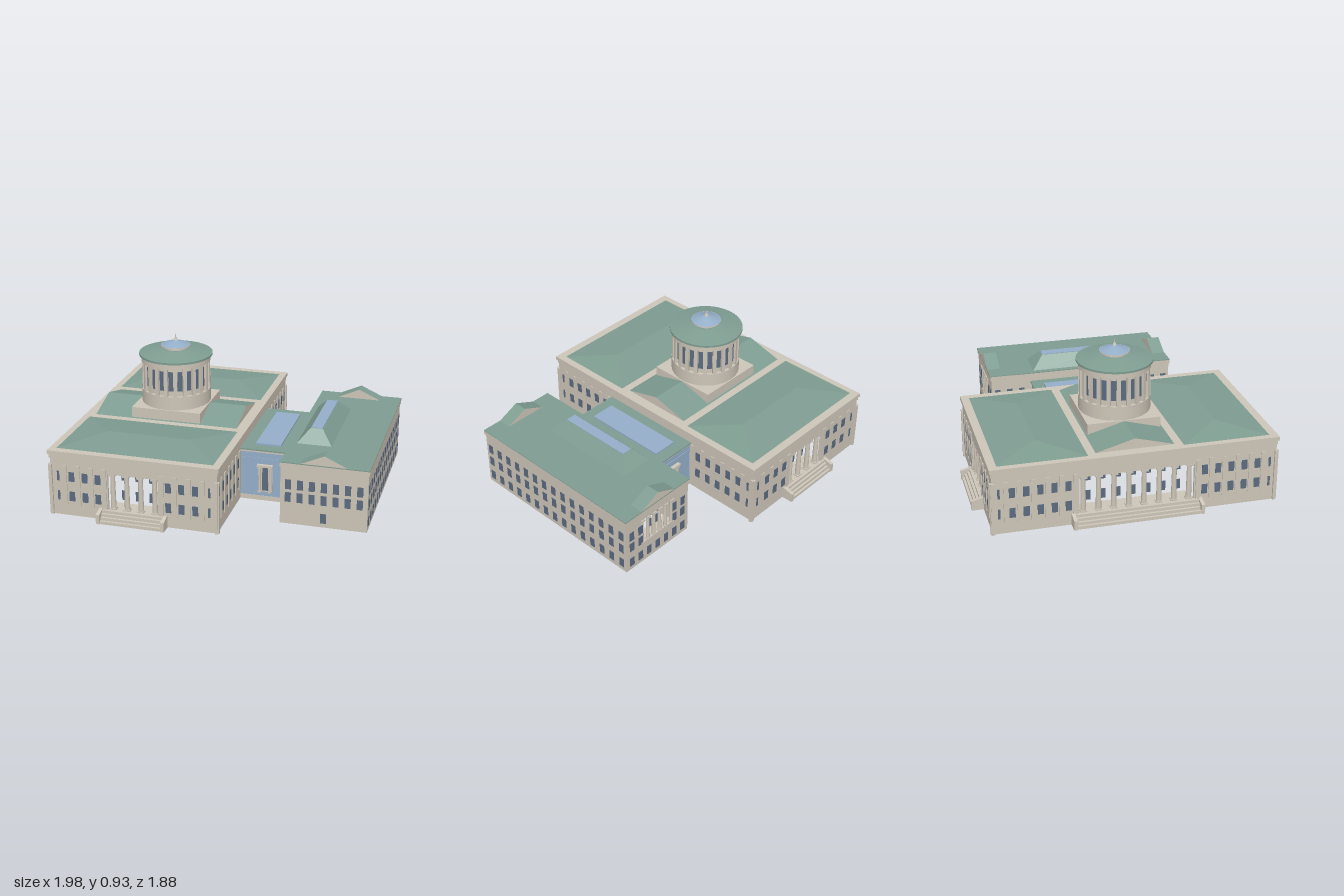
import * as THREE from 'three';

const mat = (name, color, side = THREE.FrontSide) => {
  const m = new THREE.MeshStandardMaterial({ color, side });
  m.name = name;
  return m;
};

export function createModel() {
  const stone = mat('stone', 0xcdc5b8);
  const copper = mat('copper roof', 0x7f9d92);
  const glass = mat('skylight glass', 0x94aec8, THREE.DoubleSide);
  const pane = mat('window pane', 0x5b6b80, THREE.DoubleSide);
  const model = new THREE.Group();
  model.name = 'building';

  const add = (parent, name, geo, material, x = 0, y = 0, z = 0) => {
    const m = new THREE.Mesh(geo, material);
    m.name = name;
    m.position.set(x, y, z);
    parent.add(m);
    return m;
  };
  const group = (name, parent = model) => {
    const g = new THREE.Group();
    g.name = name;
    parent.add(g);
    return g;
  };
  // Box given by its limits
  const block = (parent, name, material, x0, x1, y0, y1, z0, z1) =>
    add(parent, name, new THREE.BoxGeometry(x1 - x0, y1 - y0, z1 - z0), material,
      (x0 + x1) / 2, (y0 + y1) / 2, (z0 + z1) / 2);
  // Box whose top rectangle differs from its base: hips, gables and monitors
  const hip = (parent, name, material, [x0, x1, z0, z1, y0], [a0, a1, b0, b1, y1]) => {
    const geo = new THREE.BoxGeometry(1, 1, 1);
    const p = geo.attributes.position;
    for (let i = 0; i < p.count; i++) {
      const r = p.getX(i) > 0, f = p.getZ(i) > 0;
      if (p.getY(i) > 0) p.setXYZ(i, r ? a1 : a0, y1, f ? b1 : b0);
      else p.setXYZ(i, r ? x1 : x0, y0, f ? z1 : z0);
    }
    geo.computeVertexNormals();
    return add(parent, name, geo, material);
  };
  const column = (parent, x, y0, y1, z, r) => {
    const h = y1 - y0;
    add(parent, 'columnShaft', new THREE.CylinderGeometry(r * 0.82, r, h, 14), stone, x, y0 + h / 2, z);
    block(parent, 'columnBase', stone, x - r * 1.2, x + r * 1.2, y0, y0 + 0.008, z - r * 1.2, z + r * 1.2);
    block(parent, 'columnCapital', stone, x - r * 1.25, x + r * 1.25, y1 - 0.012, y1, z - r * 1.25, z + r * 1.25);
  };
  const windowAt = (parent, x, y, z = 0.001, w = 0.036, h = 0.062) =>
    block(parent, 'window', pane, x - w / 2, x + w / 2, y - h / 2, y + h / 2, z - 0.002, z + 0.002);

  // Wall facing local +z, with an optional opening [half width, bottom, top]
  const wall = (name, x, z, angle, half, top, hole, holeX = 0) => {
    const g = group(name);
    g.position.set(x, 0, z);
    g.rotation.y = angle;
    const s = new THREE.Shape();
    s.moveTo(-half, 0).lineTo(half, 0).lineTo(half, top).lineTo(-half, top).closePath();
    if (hole) {
      const [w, y0, y1] = hole, p = new THREE.Path();
      p.moveTo(holeX - w, y0).lineTo(holeX - w, y1).lineTo(holeX + w, y1).lineTo(holeX + w, y0).closePath();
      s.holes.push(p);
    }
    add(g, 'wall', new THREE.ExtrudeGeometry(s, { depth: 0.015, bevelEnabled: false }), stone, 0, 0, -0.015);
    return g;
  };

  // Main block: four facades with recessed colonnades
  const CX = -0.39, HX = 0.525, HZ = 0.865;
  const facade = (name, x, z, angle, half, open, count, bays, stepHalf) => {
    const g = wall(name, x, z, angle, half, 0.375, [open, 0.07, 0.302]);
    const gap = (2 * open - 0.052) / (count - 1);
    for (let i = 0; i < count; i++) {
      const u = (i - (count - 1) / 2) * gap;
      column(g, u, 0.07, 0.302, -0.02, 0.017);
      if (i < count - 1) for (const y of [0.128, 0.257]) windowAt(g, u + gap / 2, y, -0.1);
    }
    block(g, 'porchFloor', stone, -open, open, 0.06, 0.07, -0.11, 0);
    for (const s of [-1, 1]) {
      bays.forEach((u, i) => {
        const last = i === bays.length - 1;
        for (const y of [0.128, 0.257]) windowAt(g, s * u, y, 0.001, last ? 0.014 : 0.036);
        const c = s * (u - 0.042);
        block(g, 'pilaster', stone, c - 0.014, c + 0.014, 0.07, 0.33, 0, 0.006);
      });
      block(g, 'cornerPier', stone, s * half - 0.012, s * half + 0.012, 0, 0.33, -0.012, 0.006);
    }
    // Entrance steps between cheek walls
    if (stepHalf) {
      for (let i = 0; i < 4; i++)
        block(g, 'step', stone, -stepHalf + 0.02, stepHalf - 0.02, 0, 0.07 - i * 0.017, 0, 0.02 + i * 0.016);
      for (const s of [-1, 1]) {
        const c = s * (stepHalf - 0.011);
        hip(g, 'cheekWall', stone, [c - 0.011, c + 0.011, 0, 0.073, 0], [c - 0.011, c + 0.011, 0, 0.073, 0.06]);
        hip(g, 'cheekCap', stone, [c - 0.011, c + 0.011, 0, 0.073, 0.06], [c - 0.011, c + 0.011, 0, 0.012, 0.076]);
      }
    }
  };
  const shortBays = [0.222, 0.305, 0.39, 0.476];
  const longBays = [0.415, 0.498, 0.581, 0.664, 0.747, 0.825];
  facade('frontFacade', CX, HZ, 0, HX, 0.158, 4, shortBays, 0.215);
  facade('backFacade', CX, -HZ, Math.PI, HX, 0.158, 4, shortBays, 0.215);
  facade('rightFacade', CX - HX, 0, -Math.PI / 2, HZ, 0.35, 8, longBays, 0.4);
  facade('leftFacade', CX + HX, 0, Math.PI / 2, HZ, 0.35, 8, longBays, 0);

  // Main cornice and roofs
  const roof = group('mainRoof');
  block(roof, 'frieze', stone, CX - 0.53, CX + 0.53, 0.37, 0.396, -0.87, 0.87);
  block(roof, 'cornice', stone, CX - 0.537, CX + 0.537, 0.396, 0.42, -0.877, 0.877);
  for (const s of [-1, 1]) {
    const z = s * 0.558;
    hip(roof, 'hipRoof', copper, [-0.885, 0.1, z - 0.268, z + 0.268, 0.42], [-0.655, -0.125, z, z, 0.45]);
  }
  hip(roof, 'centralGable', [stone, stone, copper, copper, copper, copper],
    [-0.86, 0.08, -0.24, 0.24, 0.42], [-0.86, 0.08, 0, 0, 0.486]);

  // Rotunda
  const drum = group('rotunda');
  drum.position.x = CX;
  const cyl = (name, m, rTop, rBottom, y0, y1, seg = 44) =>
    add(drum, name, new THREE.CylinderGeometry(rTop, rBottom, y1 - y0, seg), m, 0, (y0 + y1) / 2, 0);
  block(drum, 'pedestal', stone, -0.228, 0.228, 0.42, 0.49, -0.228, 0.228);
  cyl('drumBase', stone, 0.222, 0.222, 0.49, 0.578);
  cyl('drumWall', stone, 0.203, 0.203, 0.578, 0.765);
  cyl('drumEntablature', stone, 0.223, 0.223, 0.762, 0.797);
  cyl('roofEave', copper, 0.236, 0.236, 0.797, 0.81);
  cyl('roofCone', copper, 0.09, 0.236, 0.81, 0.838);
  cyl('lantern', stone, 0.075, 0.075, 0.835, 0.856);
  cyl('lanternEave', stone, 0.095, 0.095, 0.853, 0.86);
  cyl('lanternGlass', glass, 0.012, 0.094, 0.86, 0.89);
  cyl('finialBase', stone, 0.009, 0.014, 0.888, 0.902, 12);
  cyl('finialSpike', stone, 0.001, 0.005, 0.9, 0.932, 8);
  const N = 22;
  for (let i = 0; i < N; i++) {
    const bay = group('drumBay', drum);
    bay.rotation.y = ((i + 0.5) / N) * Math.PI * 2;
    block(bay, 'drumWindow', pane, -0.015, 0.015, 0.612, 0.74, 0.2, 0.206);
    const pier = group('drumPier', drum);
    pier.rotation.y = (i / N) * Math.PI * 2;
    block(pier, 'drumPilaster', stone, -0.012, 0.012, 0.578, 0.765, 0.198, 0.22);
  }

  // Glazed link between the two buildings
  const link = group('link');
  block(link, 'linkRoof', copper, 0.135, 0.458, 0.333, 0.342, -0.355, 0.352);
  block(link, 'linkSkylight', glass, 0.215, 0.375, 0.342, 0.353, -0.28, 0.275);
  for (const s of [1, -1]) {
    const side = group('linkFront', link);
    side.position.set(0.295, 0, s * 0.345);
    side.rotation.y = s > 0 ? 0 : Math.PI;
    block(side, 'linkBase', stone, -0.16, 0.16, 0, 0.03, -0.012, 0.002);
    block(side, 'linkGlazing', glass, -0.16, 0.16, 0.03, 0.325, -0.008, 0);
    block(side, 'linkCornice', stone, -0.16, 0.16, 0.322, 0.334, -0.012, 0.004);
    block(side, 'glazingRail', glass, -0.16, 0.16, 0.28, 0.286, 0, 0.004);
    block(side, 'portal', stone, -0.046, 0.046, 0.06, 0.24, 0, 0.004);
    for (const x of [-0.034, 0.034]) column(side, x, 0.06, 0.232, 0.012, 0.009);
    block(side, 'portalLintel', stone, -0.05, 0.05, 0.232, 0.245, 0, 0.025);
    block(side, 'portalDoor', pane, -0.018, 0.018, 0.07, 0.215, 0.004, 0.007);
    add(side, 'portalArch', new THREE.CircleGeometry(0.018, 16, 0, Math.PI), pane, 0, 0.215, 0.006);
  }

  // Annex: walls and windows
  const AX = 0.72, AH = 0.265, AZ = 0.62;
  const front = wall('annexFront', AX, AZ, 0, AH, 0.375);
  const back = wall('annexBack', AX, -AZ, Math.PI, AH, 0.375, [0.14, 0.145, 0.325]);
  const left = wall('annexLeft', AX + AH, 0, Math.PI / 2, AZ, 0.375);
  const right = wall('annexRight', AX - AH, 0, -Math.PI / 2, AZ, 0.375);
  for (let i = -3; i <= 3; i++) for (const y of [0.175, 0.258]) {
    windowAt(front, i * 0.0725, y);
    windowAt(back, i * 0.0725, y, Math.abs(i) < 2 ? -0.07 : 0.001);
  }
  windowAt(front, 0, 0.058);
  for (let i = -3; i <= 3; i++) windowAt(back, i * 0.0725, 0.058);
  for (let i = 0; i < 6; i++) column(back, (i - 2.5) * 0.05, 0.145, 0.325, -0.008, 0.012);
  block(back, 'loggiaFloor', stone, -0.14, 0.14, 0.135, 0.145, -0.08, 0);
  for (let i = -7; i <= 7; i++) for (const y of [0.06, 0.172, 0.268]) {
    windowAt(left, i * 0.083, y);
    if (Math.abs(i) > 4) windowAt(right, i * 0.083, y);
  }

  // Annex: cornice, roof, end gables and roof monitor
  const annex = group('annexRoof');
  const x0 = 0.452, x1 = 0.992;
  for (const s of [-1, 1]) {
    block(annex, 'corniceEnd', stone, x0, x1, 0.37, 0.398, s * 0.615 - 0.012, s * 0.615 + 0.012);
    const x = s > 0 ? x1 : x0;
    block(annex, 'corniceSide', stone, Math.min(x, x - s * 0.022), Math.max(x, x - s * 0.022), 0.37, 0.398, -0.627, 0.627);
    const a = s > 0 ? 0.54 : -0.627, b = s > 0 ? 0.627 : -0.54;
    hip(annex, 'endGable', [copper, copper, copper, copper, stone, stone],
      [0.575, 0.865, a, b, 0.4], [AX, AX, a, b, 0.465]);
  }
  block(annex, 'roofDeck', copper, x0, x1, 0.396, 0.402, -0.628, 0.628);
  hip(annex, 'monitor', copper, [0.485, 0.705, -0.328, 0.328, 0.4], [0.557, 0.632, -0.25, 0.25, 0.482]);
  block(annex, 'monitorGlass', glass, 0.56, 0.629, 0.481, 0.485, -0.248, 0.248);

  return model;
}
